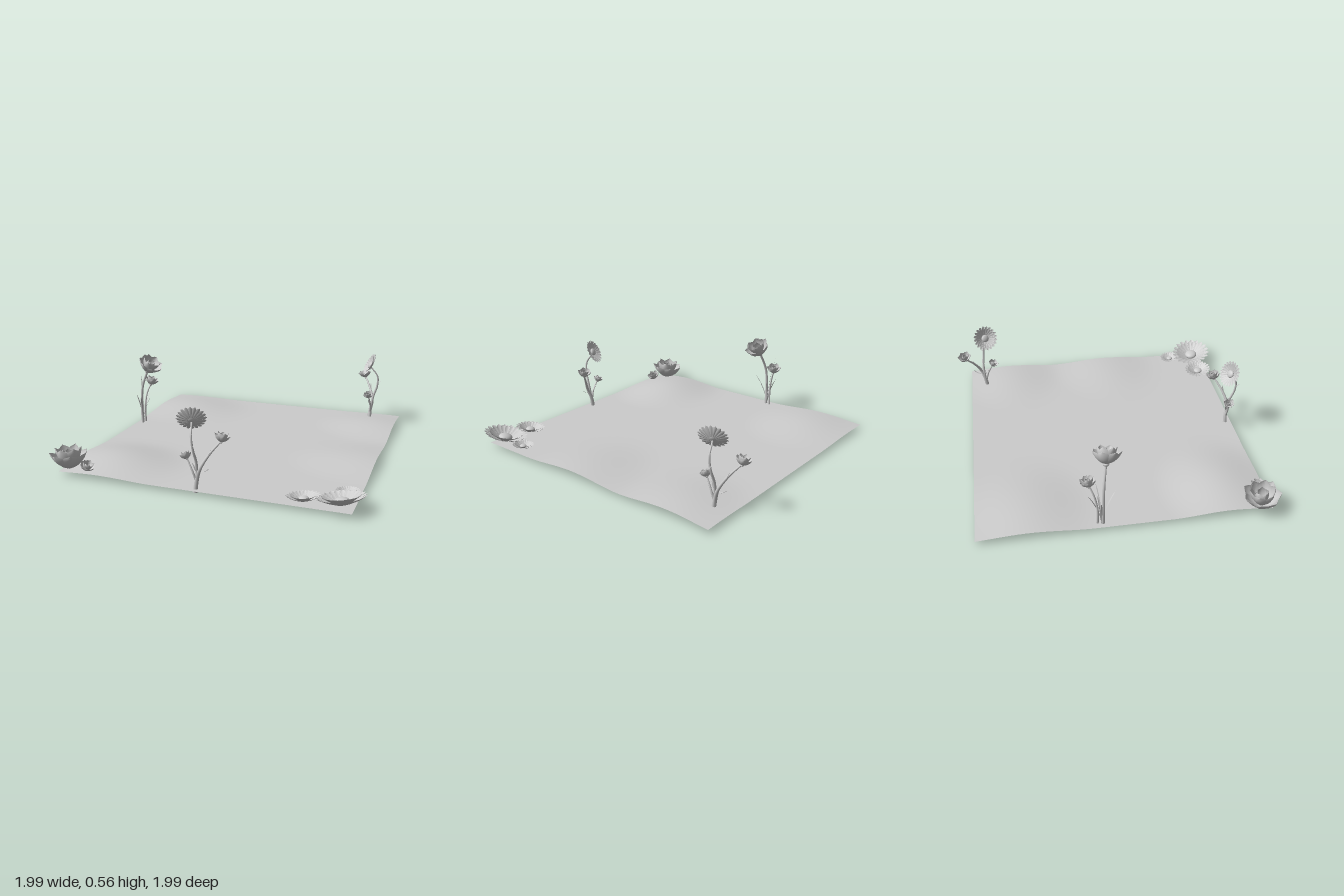
import * as THREE from 'three';
import { mergeGeometries } from 'three/addons/utils/BufferGeometryUtils.js';

const material = new THREE.MeshStandardMaterial({ color: 0xcccccc, side: THREE.DoubleSide });
const rad = THREE.MathUtils.degToRad;
const V = (p) => new THREE.Vector3(...p);

function mesh(name, geometry, parent) {
  const m = new THREE.Mesh(geometry, material);
  m.name = name;
  parent.add(m);
  return m;
}

// Width outlines along a petal, t from root to tip
const pointed = (t) => t < 0.55
  ? 0.25 + 0.75 * Math.sin((Math.PI / 2) * (t / 0.55))
  : Math.pow(Math.max(0, 1 - ((t - 0.55) / 0.45) ** 2), 0.7);
const rounded = (t) => (0.3 + 0.7 * t) * Math.sqrt(Math.max(0, 1 - t ** 7));
const bladeShape = (t) => Math.pow(1 - t, 0.6) * (0.6 + t);

// Petal growing along +x, bending from elevation a0 to a1 (degrees)
function petal({ length, width, a0, a1, cup = 0, start = 0, shape = pointed, rows = 8, cols = 4 }) {
  const g = new THREE.PlaneGeometry(1, 1, cols, rows);
  const p = g.attributes.position;
  let r = start, y = 0;
  for (let i = 0; i <= rows; i++) {
    const t = i / rows, a = rad(a0 + (a1 - a0) * t), w = (width / 2) * shape(t);
    if (i > 0) {
      r += (Math.cos(a) * length) / rows;
      y += (Math.sin(a) * length) / rows;
    }
    for (let j = 0; j <= cols; j++) {
      const s = (j / cols) * 2 - 1, lift = cup * s * s * w;
      p.setXYZ(i * (cols + 1) + j, r - Math.sin(a) * lift, y + Math.cos(a) * lift, s * w);
    }
  }
  g.computeVertexNormals();
  return g;
}

// Ring of equal petals around the y axis
function ring(count, options, turn = 0) {
  return mergeGeometries(Array.from({ length: count }, (_, i) =>
    petal(options).rotateY(turn + (i / count) * Math.PI * 2)));
}

function flowerGroup(name, parent, position, axis) {
  const g = new THREE.Group();
  g.name = name;
  g.position.set(...position);
  g.quaternion.setFromUnitVectors(new THREE.Vector3(0, 1, 0), V(axis).normalize());
  parent.add(g);
  return g;
}

// Cupped flower with three layers of broad pointed petals; s is its radius
function cupFlower(parent, name, s, position, axis, counts = [7, 6, 5]) {
  const g = flowerGroup(name, parent, position, axis);
  const layers = [
    { length: s * 1.35, width: s * 0.95, a0: 8, a1: 68, cup: 0.45 },
    { length: s * 1.35, width: s * 0.85, a0: 28, a1: 84, cup: 0.5 },
    { length: s * 1.05, width: s * 0.65, a0: 40, a1: 100, cup: 0.5 },
  ];
  counts.forEach((n, i) => mesh('petalLayer', ring(n, layers[i], i * 0.5), g));
  mesh('flowerHeart', new THREE.SphereGeometry(s * 0.17, 12, 8), g).position.y = s * 0.12;
  mesh('calyx', new THREE.SphereGeometry(s * 0.2, 12, 8), g).scale.y = 0.7;
  return g;
}

// Flat flower with two rings of narrow petals round a domed centre
function daisy(parent, name, R, position, axis, rise = 22) {
  const g = flowerGroup(name, parent, position, axis);
  const outer = { start: R * 0.22, length: R * 0.85, width: R * 0.3, a0: rise - 6, a1: rise + 6, cup: 0.25, shape: rounded };
  const inner = { ...outer, length: R * 0.68, a0: rise + 6, a1: rise + 14 };
  mesh('outerPetals', ring(20, outer), g);
  mesh('innerPetals', ring(20, inner, Math.PI / 20), g);
  const dome = mesh('flowerCentre', new THREE.SphereGeometry(R * 0.31, 20, 12), g);
  dome.scale.y = 0.5;
  dome.position.y = R * 0.12;
  return g;
}

// Tapering stem along a smooth curve
function stem(parent, points, r0, r1) {
  const curve = new THREE.CatmullRomCurve3(points.map(V));
  const n = 20, sides = 8;
  const g = new THREE.TubeGeometry(curve, n, 1, sides);
  const p = g.attributes.position, v = new THREE.Vector3();
  for (let i = 0; i <= n; i++) {
    const c = curve.getPointAt(i / n), r = r0 + (r1 - r0) * (i / n);
    for (let j = 0; j <= sides; j++) {
      const k = i * (sides + 1) + j;
      v.fromBufferAttribute(p, k).sub(c).multiplyScalar(r).add(c);
      p.setXYZ(k, v.x, v.y, v.z);
    }
  }
  mesh('stem', g, parent);
}

// Narrow leaf; heading is its compass angle in degrees
function leaf(parent, position, length, width, heading, a0, a1) {
  const m = mesh('leaf', petal({ length, width, a0, a1, cup: 0.3, shape: bladeShape, cols: 2 }), parent);
  m.position.set(...position);
  m.rotation.y = rad(heading);
}

// Standing daisy with two side blooms
function daisyPlant(parent, name, position, turn) {
  const g = new THREE.Group();
  g.name = name;
  g.position.set(...position);
  g.rotation.y = turn;
  parent.add(g);
  stem(g, [[0, 0, 0], [0.012, 0.08, 0], [0.04, 0.16, 0.01], [0.085, 0.24, -0.02], [0.14, 0.31, -0.065]], 0.015, 0.005);
  stem(g, [[0.015, 0.09, 0], [0.018, 0.2, 0.02], [0.01, 0.28, 0.045], [0, 0.36, 0.045], [-0.015, 0.43, -0.005]], 0.01, 0.005);
  stem(g, [[0.008, 0.07, 0], [-0.012, 0.13, 0.005], [-0.05, 0.205, -0.005]], 0.008, 0.004);
  daisy(g, 'daisyHead', 0.088, [-0.015, 0.44, 0], [-0.3, 0.45, -0.8], 16);
  cupFlower(g, 'rightBloom', 0.052, [0.14, 0.305, -0.067], [0.15, 1, -0.25], [6, 5, 4]);
  cupFlower(g, 'leftBloom', 0.04, [-0.05, 0.2, -0.005], [-0.35, 0.9, -0.1], [6, 5, 4]);
  leaf(g, [0.04, 0.13, 0], 0.07, 0.014, -10, 10, 50);
  leaf(g, [0.016, 0.1, 0], 0.09, 0.014, 160, 75, 50);
  leaf(g, [0.02, 0.2, 0.02], 0.06, 0.012, 150, 60, 10);
  leaf(g, [0.08, 0.22, -0.01], 0.06, 0.012, 20, 80, 60);
  leaf(g, [0.01, 0.3, 0.045], 0.05, 0.012, -60, 40, -10);
}

// Hills: centre x, centre z, radius x, radius z, height
const hills = [
  [-0.65, 0.64, 0.5, 0.42, 0.05],
  [-0.7, -0.6, 0.52, 0.45, 0.036],
  [0.85, 0.13, 0.55, 0.42, 0.028],
  [0.8, -0.62, 0.48, 0.4, 0.03],
];
function groundHeight(x, z) {
  return hills.reduce((y, [cx, cz, rx, rz, h]) => {
    const d = Math.min(1, Math.hypot((x - cx) / rx, (z - cz) / rz));
    return y + h * Math.cos((d * Math.PI) / 2) ** 2;
  }, 0.021);
}

export function createModel() {
  const model = new THREE.Group();
  model.name = 'flowerMeadow';

  // Gently rolling sheet of ground
  const sheet = new THREE.PlaneGeometry(1.845, 1.84, 50, 50).rotateX(-Math.PI / 2).translate(0.0075, 0, 0);
  const p = sheet.attributes.position;
  for (let i = 0; i < p.count; i++) p.setY(i, groundHeight(p.getX(i), p.getZ(i)));
  sheet.computeVertexNormals();
  mesh('ground', sheet, model);

  // Standing daisies at the front middle and the back corner
  daisyPlant(model, 'frontDaisyPlant', [-0.01, 0, 0.88], 0);
  daisyPlant(model, 'backDaisyPlant', [0.72, 0, -0.8], Math.PI / 2);

  // Tall cup flower at the side edge
  const tall = new THREE.Group();
  tall.name = 'tallCupPlant';
  model.add(tall);
  stem(tall, [[-0.875, 0, -0.145], [-0.88, 0.14, -0.145], [-0.865, 0.3, -0.14], [-0.81, 0.43, -0.12]], 0.011, 0.008);
  stem(tall, [[-0.87, 0.01, -0.18], [-0.87, 0.14, -0.18], [-0.86, 0.24, -0.2], [-0.84, 0.3, -0.225]], 0.008, 0.005);
  cupFlower(tall, 'tallHead', 0.096, [-0.81, 0.43, -0.118], [0.5, 0.85, 0.12]);
  cupFlower(tall, 'sideHead', 0.056, [-0.842, 0.297, -0.225], [0.25, 0.95, -0.15], [6, 5, 4]);
  [[-70, 0.25, 82, 55], [75, 0.24, 85, 55], [170, 0.22, 88, 65], [120, 0.37, 88, 78], [20, 0.2, 85, 65]]
    .forEach(([heading, length, a0, a1]) => leaf(tall, [-0.877, 0.02, -0.155], length, 0.016, heading, a0, a1));

  // Cup flowers resting on the front corner
  cupFlower(model, 'largeGroundCup', 0.125, [-0.875, 0.025, 0.855], [-0.06, 1, -0.06]);
  cupFlower(model, 'smallGroundCup', 0.052, [-0.745, 0.04, 0.88], [0.4, 0.9, 0.05], [6, 5, 4]);

  // Low daisies on the other front corner
  daisy(model, 'largeGroundDaisy', 0.147, [0.86, 0.04, 0.85], [-0.16, 1, -0.14]);
  daisy(model, 'mediumGroundDaisy', 0.1, [0.64, 0.03, 0.85], [-0.08, 1, -0.08]);
  daisy(model, 'smallGroundDaisy', 0.072, [0.855, 0.03, 0.67], [-0.05, 1, -0.08]);

  return model;
}
